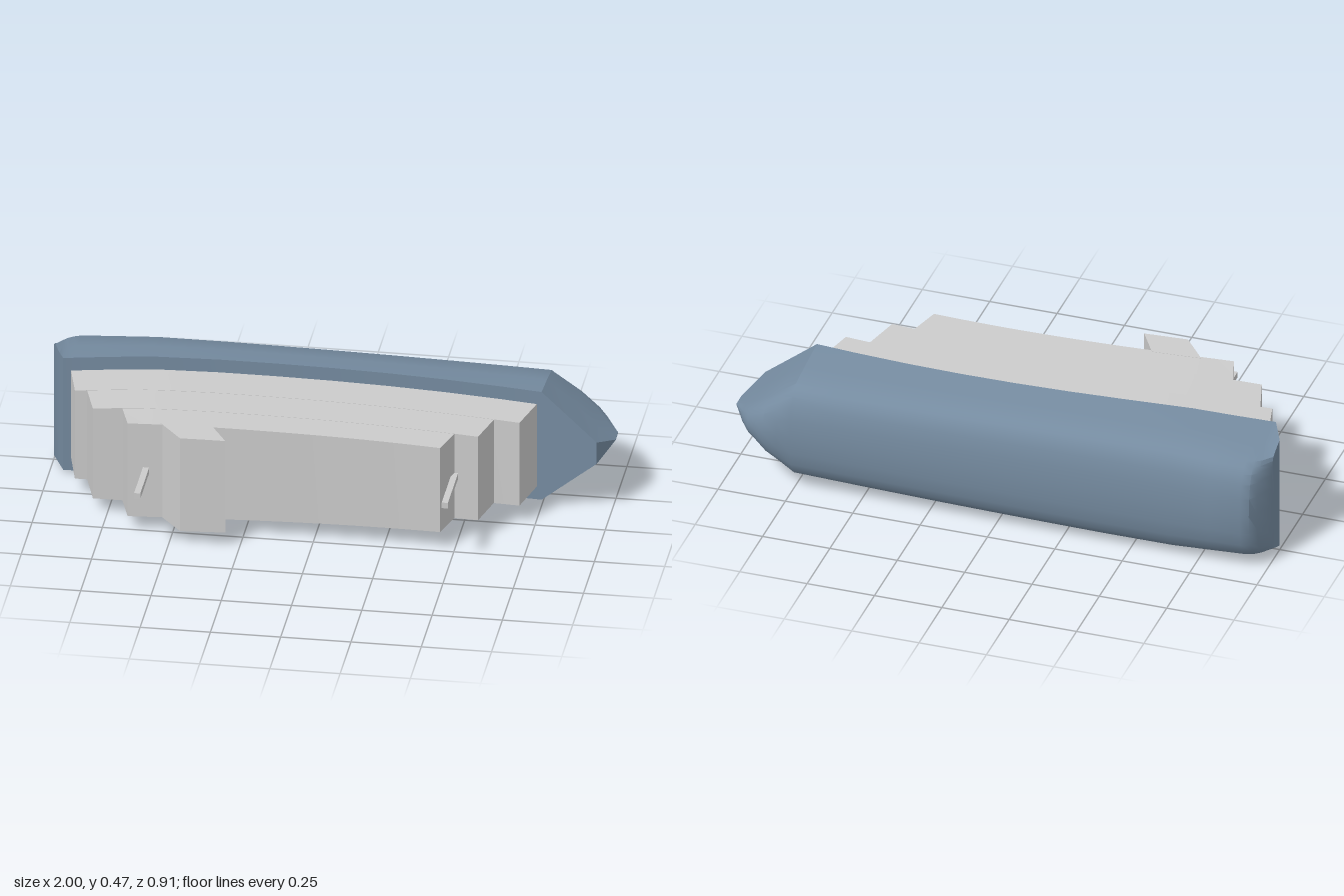
import * as THREE from 'three';
import { toCreasedNormals } from 'three/addons/utils/BufferGeometryUtils.js';

// The ship lies on its side: bow at +x, masts toward +z, beam along y.
const MID = 0.238;
const deckZ = x => -0.2 + (x < 0 ? 0.062 : 0.082) * x * x;

// Linear interpolation through [x, value] pairs
function lerpTable(table, x) {
  let i = 0;
  while (i < table.length - 2 && x > table[i + 1][0]) i++;
  const [x0, v0] = table[i], [x1, v1] = table[i + 1];
  return THREE.MathUtils.mapLinear(x, x0, x1, v0, v1);
}
const BEAM = [[-1, 0.217], [-0.95, 0.22], [-0.65, 0.235], [-0.4, 0.233], [0.75, 0.212], [0.95, 0.042], [1, 0.001]];
const TOP = [[-1, -0.25], [-0.95, deckZ(-0.95)]];
const KEEL = [[-1, -0.34], [-0.97, -0.41], [-0.95, -0.442], [-0.92, -0.455], [0.85, -0.455], [0.92, -0.42], [0.95, -0.385], [1, -0.3]];
const halfBeam = x => lerpTable(BEAM, x);

// Skin a row of closed cross-sections and cap both ends
function loft(rings, crease) {
  const n = rings[0].length, pos = [], idx = [];
  rings.forEach(r => r.forEach(p => pos.push(...p)));
  for (let i = 0; i < rings.length - 1; i++) {
    for (let j = 0; j < n; j++) {
      const a = i * n + j, b = i * n + (j + 1) % n;
      idx.push(a, a + n, b, b, a + n, b + n);
    }
  }
  [0, rings.length - 1].forEach((r, end) => {
    const c = pos.length / 3;
    const sum = [0, 1, 2].map(k => rings[r].reduce((s, p) => s + p[k], 0) / n);
    pos.push(...sum);
    for (let j = 0; j < n; j++) {
      const a = r * n + j, b = r * n + (j + 1) % n;
      idx.push(...(end ? [c, b, a] : [c, a, b]));
    }
  });
  const g = new THREE.BufferGeometry();
  g.setAttribute('position', new THREE.Float32BufferAttribute(pos, 3));
  g.setIndex(idx);
  return toCreasedNormals(g, crease);
}

// Hull section from deck edge round the bilge to the other deck edge
function hullRing(x) {
  const top = x <= -0.95 ? lerpTable(TOP, x)
    : x > 0.95 ? THREE.MathUtils.mapLinear(x, 0.95, 1, deckZ(0.95), -0.24) : deckZ(x);
  const keel = lerpTable(KEEL, x), w = halfBeam(x);
  const half = [[0, 1], [0.4, 0.94], [0.77, 0.865], [0.84, 0.8], [0.9, 0.71], [0.95, 0.56], [0.985, 0.32]];
  const side = s => half.map(([u, v]) => [x, MID + s * v * w, top + (keel - top) * u]);
  return [...side(1), [x, MID, keel], ...side(-1).reverse()];
}

// Block with a curved floor and roof whose sides follow the hull
function tier(base, roof, zBase, zRoof, inset, steps = 16) {
  const rings = [];
  for (let i = 0; i <= steps; i++) {
    const xb = THREE.MathUtils.lerp(...base, i / steps), xt = THREE.MathUtils.lerp(...roof, i / steps);
    const wb = halfBeam(xb) - inset, wt = halfBeam(xt) - inset;
    const zb = deckZ(xb) + zBase, zt = deckZ(xt) + zRoof;
    rings.push([[xt, MID + wt, zt], [xb, MID + wb, zb], [xb, MID - wb, zb], [xt, MID - wt, zt]]);
  }
  return loft(rings, 0.5);
}

export function createModel() {
  const group = new THREE.Group();
  const grey = new THREE.MeshStandardMaterial({ color: 0xcccccc });
  const blue = new THREE.MeshStandardMaterial({ color: 0x758ba0 });
  const add = (name, geometry, material) => {
    const mesh = new THREE.Mesh(geometry, material);
    mesh.name = name;
    group.add(mesh);
    return mesh;
  };

  // Hull
  const stations = [-1, -0.97, -0.95, -0.92, -0.8, -0.65, -0.4, -0.2, 0, 0.2, 0.4, 0.6, 0.75, 0.8, 0.85, 0.89, 0.92, 0.95, 1];
  add('hull', loft(stations.map(hullRing), 0.6), blue);

  // Stepped superstructure
  add('lowerDeckhouse', tier([-0.925, 0.735], [-0.885, 0.695], -0.01, 0.16, 0.05), grey);
  add('middleDeckhouse', tier([-0.845, 0.605], [-0.8, 0.568], 0.15, 0.305, 0.051), grey);
  add('upperDeckhouse', tier([-0.7, 0.485], [-0.66, 0.45], 0.295, 0.425, 0.052), grey);

  // Raked funnel
  add('funnel', tier([-0.545, -0.365], [-0.46, -0.3], 0.415, 0.526, 0.051, 2), grey);

  // Masts
  for (const [name, x, z0, z1] of [['aftMast', -0.595, 0.2, 0.452], ['foreMast', 0.485, 0.1, 0.36]]) {
    add(name, new THREE.BoxGeometry(0.022, 0.022, z1 - z0), grey).position.set(x, 0.239, (z0 + z1) / 2);
  }
  return group;
}
